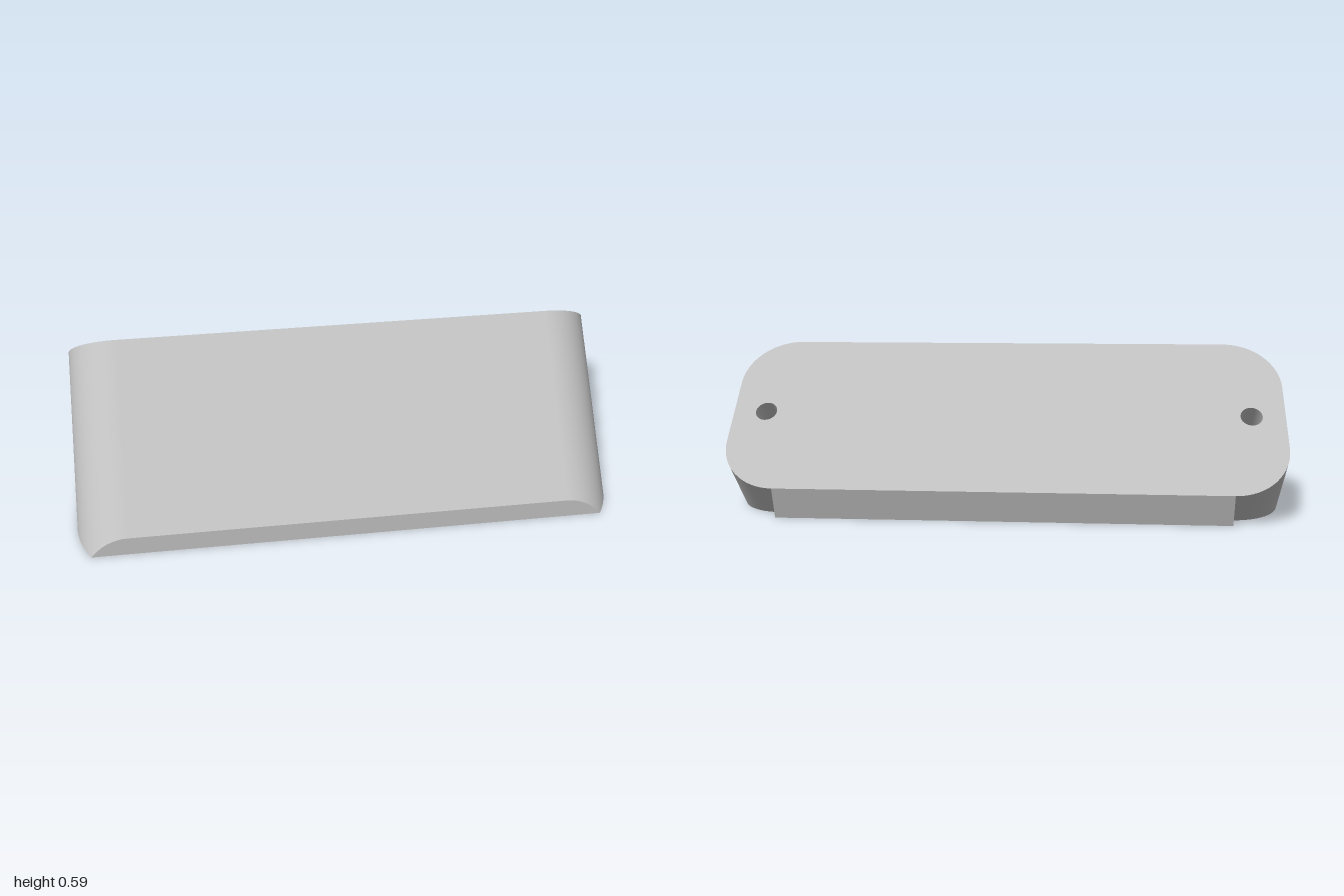
import * as THREE from 'three';

// Rounded-rectangle prism leaning at 45 degrees, trimmed flat by the floor and by a vertical front plane.
const A = Math.SQRT1_2;
const HALF_W = 1, HALF_V = 0.334, R = 0.2;   // section size and corner radius
const ZC = -0.254, YC = 0.349, FRONT = 0.49; // centre of the tilted face, front plane
const HOLE_X = 0.88, HOLE_R = 0.039, HOLE_DEPTH = 0.25;

// (x, v) on the tilted face, pushed t along the lean (t measured in z)
const place = (x, v, t) => new THREE.Vector3(x, YC + v * A - t, ZC + v * A + t);
const toFloor = (v) => YC + v * A;
const toFront = (v) => FRONT - (ZC + v * A);
const toCut = (v) => Math.min(toFloor(v), toFront(v));

// v where the floor and the front plane meet
const CREASE = (FRONT - YC - ZC) / (2 * A);

// Counter-clockwise outline with normals, including exact crease points
function outline() {
  const pts = [];
  const crease = Math.asin((CREASE - (HALF_V - R)) / R);
  for (let q = 0; q < 4; q++) {
    const angles = [];
    for (let i = 0; i <= 16; i++) angles.push((q + i / 16) * Math.PI / 2);
    if (q === 0) angles.push(crease);
    if (q === 1) angles.push(Math.PI - crease);
    angles.sort((a, b) => a - b);
    const cx = (q === 0 || q === 3 ? 1 : -1) * (HALF_W - R);
    const cv = (q < 2 ? 1 : -1) * (HALF_V - R);
    for (const a of angles) {
      const nx = Math.cos(a), nv = Math.sin(a);
      pts.push({ x: cx + R * nx, v: cv + R * nv, nx, nv });
    }
  }
  return pts;
}

// Clockwise circle with normals facing its centre
function holeRing(cx) {
  const pts = [];
  for (let i = 0; i < 32; i++) {
    const a = -i / 32 * Math.PI * 2;
    const c = Math.cos(a), s = Math.sin(a);
    pts.push({ x: cx + HOLE_R * c, v: HOLE_R * s, nx: -c, nv: -s });
  }
  return pts;
}

// Smooth wall running from the tilted face to depth(v)
function wall(ring, depth) {
  const pos = [], nor = [], idx = [], n = ring.length;
  ring.forEach((p, i) => {
    for (const t of [0, depth(p.v)]) {
      pos.push(...place(p.x, p.v, t).toArray());
      nor.push(p.nx, p.nv * A, p.nv * A);
    }
    const a = i * 2, b = ((i + 1) % n) * 2;
    idx.push(a, b, b + 1, a, b + 1, a + 1);
  });
  const g = new THREE.BufferGeometry();
  g.setAttribute('position', new THREE.Float32BufferAttribute(pos, 3));
  g.setAttribute('normal', new THREE.Float32BufferAttribute(nor, 3));
  g.setIndex(idx);
  return g;
}

// Flat face spanning a ring at depth(v); flip makes it face up the lean
function sheet(ring, depth, flip, holes = []) {
  const vec = (r) => r.map((p) => new THREE.Vector2(p.x, p.v));
  const shape = new THREE.Shape(vec(ring));
  holes.forEach((h) => shape.holes.push(new THREE.Path(vec(h))));
  const g = new THREE.ShapeGeometry(shape);
  const pos = g.attributes.position;
  for (let i = 0; i < pos.count; i++) {
    const p = place(pos.getX(i), pos.getY(i), depth(pos.getY(i)));
    pos.setXYZ(i, p.x, p.y, p.z);
  }
  if (flip) g.setIndex(Array.from(g.index.array).reverse());
  g.computeVertexNormals();
  return g;
}

export function createModel() {
  const group = new THREE.Group();
  group.name = 'angledBlock';
  const grey = new THREE.MeshStandardMaterial({ color: 0xc0c0c0 });
  grey.name = 'light grey';
  const add = (name, geometry) => {
    const mesh = new THREE.Mesh(geometry, grey);
    mesh.name = name;
    group.add(mesh);
  };

  // Main body
  const ring = outline();
  const holes = [HOLE_X, -HOLE_X].map(holeRing);
  add('bodyWall', wall(ring, toCut));
  add('tiltedFace', sheet(ring, () => 0, true, holes));
  add('base', sheet(ring.filter((p) => p.v <= CREASE + 1e-6), toFloor, false));
  add('frontFace', sheet(ring.filter((p) => p.v >= CREASE - 1e-6), toFront, false));

  // Screw holes
  holes.forEach((h, i) => {
    const side = i === 0 ? 'left' : 'right';
    add(side + 'HoleWall', wall(h, () => HOLE_DEPTH * A));
    add(side + 'HoleFloor', sheet(h.slice().reverse(), () => HOLE_DEPTH * A, true));
  });

  // Wedge filling the undercut along the back
  const top = place(0, -HALF_V, 0);
  const foot = place(0, -HALF_V, toFloor(-HALF_V));
  const section = new THREE.Shape([
    new THREE.Vector2(top.z, top.y),
    new THREE.Vector2(-0.455, 0),
    new THREE.Vector2(foot.z, 0),
  ]);
  const half = HALF_W - R;
  const wedge = new THREE.ExtrudeGeometry(section, { depth: half * 2, bevelEnabled: false });
  wedge.rotateY(-Math.PI / 2).translate(half, 0, 0);
  add('backWedge', wedge);

  return group;
}
